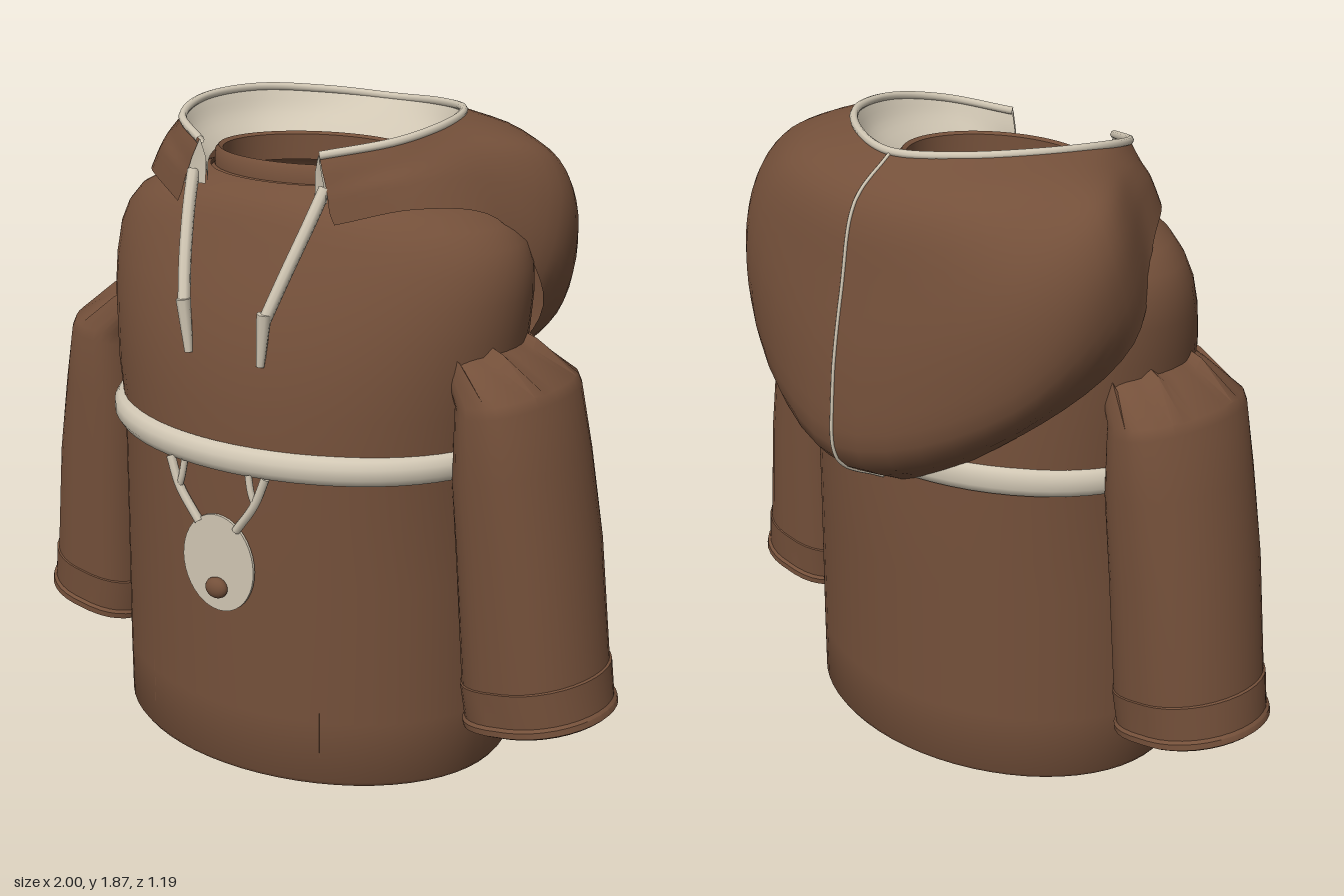
import * as THREE from 'three';
import { toCreasedNormals } from 'three/addons/utils/BufferGeometryUtils.js';

const V = (x, y, z) => new THREE.Vector3(x, y, z);

// Skin a list of equally long rows of points.
function loft(rows, closed, crease = 0.7) {
  const n = rows[0].length, pos = [], idx = [];
  rows.forEach(r => r.forEach(p => pos.push(p.x, p.y, p.z)));
  for (let i = 0; i < rows.length - 1; i++) {
    for (let j = 0; j < (closed ? n : n - 1); j++) {
      const k = (j + 1) % n;
      const a = i * n + j, b = i * n + k, c = a + n, d = b + n;
      idx.push(a, c, b, b, c, d);
    }
  }
  const g = new THREE.BufferGeometry();
  g.setAttribute('position', new THREE.Float32BufferAttribute(pos, 3));
  g.setIndex(idx);
  return toCreasedNormals(g, crease);
}

// Horizontal ellipse given by height, half width, front z and back z.
function bodyRing([y, hx, front, back], n = 64) {
  return Array.from({ length: n }, (_, i) => {
    const a = i / n * Math.PI * 2;
    return V(Math.cos(a) * hx, y, (front + back) / 2 + Math.sin(a) * (front - back) / 2);
  });
}

// Tilted sleeve ring, squarer towards the body: centre x and y, half width, half depth, ragged height.
function sleeveRing([cx, cy, rx, rz, jag = 0], s, n = 36) {
  return Array.from({ length: n }, (_, i) => {
    const a = i / n * Math.PI * 2, c0 = Math.cos(a), s0 = Math.sin(a);
    const p = c0 < 0 ? 0.65 : 1;
    const c = Math.sign(c0) * Math.abs(c0) ** p * rx;
    return V(s * (cx + c * 0.984), cy + c * 0.178 + (i % 6 === 3 ? jag : 0), 0.08 + Math.sign(s0) * Math.abs(s0) ** p * rz);
  });
}

// Mirror half a set of columns and resample it into a smooth sheet.
function sheetRows(half, across = 60, down = 20) {
  const cols = [...half, ...half.slice(0, -1).reverse().map(c => c.map(([x, y, z]) => [-x, y, z]))];
  const rails = half[0].map((_, k) => new THREE.CatmullRomCurve3(cols.map(c => V(...c[k]))));
  const fine = Array.from({ length: across + 1 }, (_, i) =>
    new THREE.CatmullRomCurve3(rails.map(r => r.getPoint(i / across))).getPoints(down));
  return Array.from({ length: down + 1 }, (_, j) => fine.map(c => c[j]));
}

export function createModel() {
  const group = new THREE.Group();
  const material = (name, color) => {
    const m = new THREE.MeshStandardMaterial({ color, side: THREE.DoubleSide });
    m.name = name;
    return m;
  };
  const brown = material('brown cloth', 0x74503a);
  const cream = material('cream trim', 0xd0c6b3);
  const add = (name, geo, mat) => {
    const m = new THREE.Mesh(geo, mat);
    m.name = name;
    group.add(m);
    return m;
  };
  const cord = (name, pts, r) =>
    add(name, new THREE.TubeGeometry(new THREE.CatmullRomCurve3(pts), pts.length * 6, r, 8), cream);

  // Hollow body with a turned hem and a neck opening
  add('body', loft([
    [0.06, 0.585, 0.52, -0.365], [0.0, 0.59, 0.525, -0.37], [0.0, 0.61, 0.545, -0.39],
    [0.015, 0.622, 0.555, -0.4], [0.2, 0.622, 0.555, -0.4], [0.6, 0.617, 0.553, -0.4],
    [0.95, 0.615, 0.55, -0.4], [1.1, 0.64, 0.54, -0.385], [1.2, 0.65, 0.527, -0.375],
    [1.3, 0.664, 0.505, -0.36], [1.4, 0.672, 0.472, -0.345], [1.48, 0.668, 0.44, -0.33],
    [1.54, 0.645, 0.415, -0.315], [1.59, 0.6, 0.395, -0.3], [1.625, 0.53, 0.378, -0.28],
    [1.65, 0.45, 0.36, -0.25], [1.67, 0.38, 0.34, -0.22], [1.69, 0.325, 0.325, -0.19],
  ].map(r => bodyRing(r)), true), brown);

  // Ribbed neck band
  add('neckBand', loft([
    [1.68, 0.325, 0.325, -0.19], [1.69, 0.315, 0.313, -0.182], [1.73, 0.313, 0.311, -0.18],
    [1.742, 0.303, 0.3, -0.17], [1.735, 0.29, 0.288, -0.158], [1.66, 0.288, 0.287, -0.156],
  ].map(r => bodyRing(r)), true), brown);

  // Padded stripe around the chest
  add('chestStripe', loft([
    [0.92, 0, 0], [0.925, 0.018, 0], [0.945, 0.03, 0], [0.975, 0.03, 0], [0.995, 0.018, 0], [1.003, 0, 0],
  ].map(([y, o]) => bodyRing([y, 0.615 + o, 0.55 + o, -0.4 - o * 0.5])), true, 1), cream);

  // Sleeves running into the shoulders, with cuffs
  for (const s of [1, -1]) {
    const side = s > 0 ? 'left' : 'right';
    add(side + 'Sleeve', loft([
      [0.3, 1.38, 0.08, 0.12], [0.6, 1.235, 0.09, 0.19, 0.025], [0.685, 1.16, 0.125, 0.235],
      [0.692, 1.13, 0.133, 0.24], [0.71, 0.95, 0.162, 0.237], [0.743, 0.7, 0.18, 0.23],
      [0.775, 0.34, 0.193, 0.219],
    ].map(r => sleeveRing(r, s)), true), brown);
    add(side + 'Cuff', loft([
      [0.775, 0.345, 0.192, 0.218], [0.776, 0.341, 0.199, 0.222], [0.79, 0.24, 0.199, 0.214],
      [0.792, 0.232, 0.206, 0.222], [0.796, 0.215, 0.206, 0.222], [0.798, 0.208, 0.195, 0.21],
      [0.796, 0.216, 0.178, 0.192], [0.78, 0.32, 0.178, 0.192],
    ].map(r => sleeveRing(r, s)), true), brown);
  }

  // Folded-down hood: columns run from the rim to the lower edge, front flap to back
  const hood = sheetRows([
    [[0.2, 1.785, 0.345], [0.215, 1.75, 0.355], [0.23, 1.71, 0.36], [0.24, 1.68, 0.365], [0.25, 1.64, 0.37], [0.265, 1.61, 0.37]],
    [[0.36, 1.82, 0.22], [0.375, 1.79, 0.23], [0.39, 1.76, 0.24], [0.41, 1.73, 0.25], [0.43, 1.7, 0.25], [0.455, 1.655, 0.25]],
    [[0.41, 1.847, 0.05], [0.455, 1.82, 0.04], [0.5, 1.785, 0.04], [0.535, 1.74, 0.04], [0.56, 1.68, 0.05], [0.585, 1.61, 0.06]],
    [[0.355, 1.855, -0.14], [0.5, 1.81, -0.17], [0.61, 1.745, -0.2], [0.665, 1.64, -0.2], [0.675, 1.5, -0.15], [0.652, 1.38, -0.09]],
    [[0.2, 1.843, -0.28], [0.38, 1.76, -0.39], [0.49, 1.6, -0.43], [0.53, 1.4, -0.435], [0.51, 1.2, -0.4], [0.43, 1.11, -0.28]],
    [[0, 1.83, -0.345], [0, 1.72, -0.48], [0, 1.5, -0.535], [0, 1.2, -0.582], [0, 1.0, -0.572], [0, 0.89, -0.4]],
  ]);
  add('hood', loft(hood, false, 1.2), brown);
  cord('hoodSeam', hood.map(r => r[30].clone().add(V(0, 0, -0.002))), 0.005);
  cord('hoodRim', hood[0], 0.012);

  // Pale lining from the rim down to the neck
  add('hoodLining', loft(sheetRows([
    [[0.2, 1.785, 0.345], [0.185, 1.73, 0.34], [0.18, 1.66, 0.34]],
    [[0.36, 1.82, 0.22], [0.335, 1.77, 0.21], [0.28, 1.71, 0.2]],
    [[0.41, 1.847, 0.05], [0.375, 1.785, 0.06], [0.312, 1.725, 0.065]],
    [[0.355, 1.855, -0.14], [0.33, 1.785, -0.11], [0.275, 1.725, -0.06]],
    [[0.2, 1.843, -0.28], [0.2, 1.775, -0.22], [0.17, 1.725, -0.145]],
    [[0, 1.83, -0.345], [0, 1.775, -0.265], [0, 1.725, -0.18]],
  ], 60, 8), false, 1.2), cream);

  for (const s of [1, -1]) {
    const side = s > 0 ? 'left' : 'right';
    // Pale turned edge at the hood opening
    add(side + 'HoodFacing', loft([
      [V(s * 0.2, 1.788, 0.349), V(s * 0.218, 1.74, 0.36), V(s * 0.242, 1.665, 0.369)],
      [V(s * 0.198, 1.788, 0.347), V(s * 0.183, 1.735, 0.342), V(s * 0.185, 1.665, 0.345)],
    ], false), cream);
    // Drawstring with a tapered tip
    cord(side + 'Drawstring', [V(s * 0.222, 1.7, 0.35), V(s * 0.203, 1.61, 0.398),
      V(s * 0.17, 1.48, 0.462), V(s * 0.137, 1.36, 0.513)], 0.018);
    const tip = add(side + 'DrawstringTip', new THREE.CylinderGeometry(0.021, 0.012, 0.15, 8), cream);
    tip.position.set(s * 0.13, 1.305, 0.515);
    tip.rotation.z = -s * 0.1;
    // Forked pendant cord
    cord(side + 'PendantCord', [V(s * 0.165, 0.93, 0.555), V(s * 0.13, 0.845, 0.56), V(s * 0.065, 0.755, 0.56)], 0.013);
    cord(side + 'PendantCordFork', [V(s * 0.11, 0.93, 0.56), V(s * 0.12, 0.88, 0.562), V(s * 0.132, 0.845, 0.56)], 0.01);
  }

  // Flat oval pendant with a bead
  const disc = add('pendant', new THREE.CylinderGeometry(1, 1, 0.008, 40), cream);
  disc.rotation.x = Math.PI / 2;
  disc.scale.set(0.123, 1, 0.145);
  disc.position.set(0, 0.642, 0.557);
  const bead = add('pendantBead', new THREE.SphereGeometry(1, 20, 14), brown);
  bead.scale.set(0.036, 0.031, 0.022);
  bead.position.set(0, 0.57, 0.57);

  // Inner pocket panel with slanted upper corners
  const pocketShape = new THREE.Shape([[-0.3, 0.09], [0.3, 0.09], [0.3, 0.23], [0.2, 0.37], [-0.2, 0.37], [-0.3, 0.23]]
    .map(([x, y]) => new THREE.Vector2(x, y)));
  const pocket = add('innerPocket', new THREE.ExtrudeGeometry(pocketShape, { depth: 0.008, bevelEnabled: false }), brown);
  pocket.position.z = 0.488;

  return group;
}
